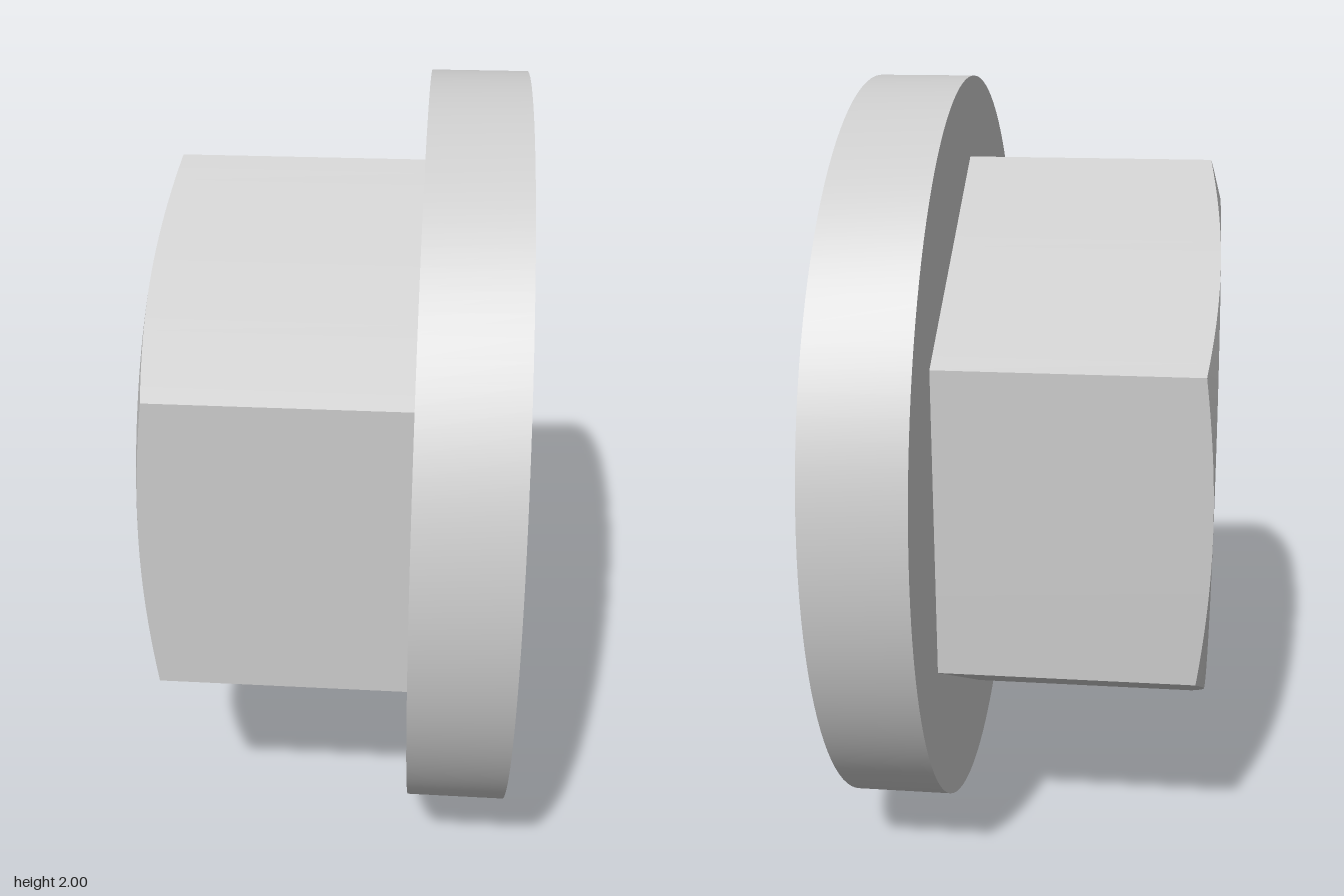
import * as THREE from 'three';
import { toCreasedNormals } from 'three/addons/utils/BufferGeometryUtils.js';

const SEGMENTS = 120;          // multiple of 12, so hexagon corners fall on a segment
const HALF = 0.462;            // half the length along the axis
const SEAT = 0.21;             // where the hexagon meets the flange
const APOTHEM = 0.686;         // hexagon centre to flat
const BORE = 0.31, MOUTH = 0.375;
const CHAMFER = Math.tan(Math.PI / 12);

// Revolve a [radius, axial] profile; reshape may move the vertices before creasing
function revolve(name, profile, reshape) {
  const geometry = new THREE.LatheGeometry(profile.map(([r, a]) => new THREE.Vector2(r, a)), SEGMENTS);
  if (reshape) reshape(geometry.attributes.position, profile.length);
  const mesh = new THREE.Mesh(
    toCreasedNormals(geometry, 0.17),
    new THREE.MeshStandardMaterial({ color: 0xcccccc })
  );
  mesh.name = name;
  return mesh;
}

// Push the outer two rings out to a hexagon, the first following the conical chamfer
function hexagonize(position, ringCount) {
  const sector = Math.PI / 3;
  for (let i = 0; i < position.count; i++) {
    const ring = i % ringCount;
    if (ring < 2) continue;
    const angle = Math.floor(i / ringCount) / SEGMENTS * Math.PI * 2;
    const offset = angle - Math.round(angle / sector) * sector;
    const radius = APOTHEM / Math.cos(offset);
    const axial = ring === 2 ? -HALF + (radius - APOTHEM) * CHAMFER : SEAT;
    position.setXYZ(i, radius * Math.sin(angle), axial, radius * Math.cos(angle));
  }
}

export function createModel() {
  const nut = new THREE.Group();
  nut.name = 'flangeNut';

  // Hexagonal body with chamfered end face
  nut.add(revolve('hexBody', [
    [MOUTH, -HALF], [APOTHEM, -HALF], [APOTHEM, -HALF], [APOTHEM, SEAT],
  ], hexagonize));

  // Round flange
  nut.add(revolve('flange', [[0.6, SEAT], [1, SEAT], [1, HALF], [MOUTH, HALF]]));

  // Through hole, countersunk at both ends
  const sink = HALF - (MOUTH - BORE);
  nut.add(revolve('bore', [[MOUTH, HALF], [BORE, sink], [BORE, -sink], [MOUTH, -HALF]]));

  // Lay the axis along x and stand the flange on the ground
  nut.rotation.z = -Math.PI / 2;
  nut.position.y = 1;
  const model = new THREE.Group();
  model.add(nut);
  return model;
}
